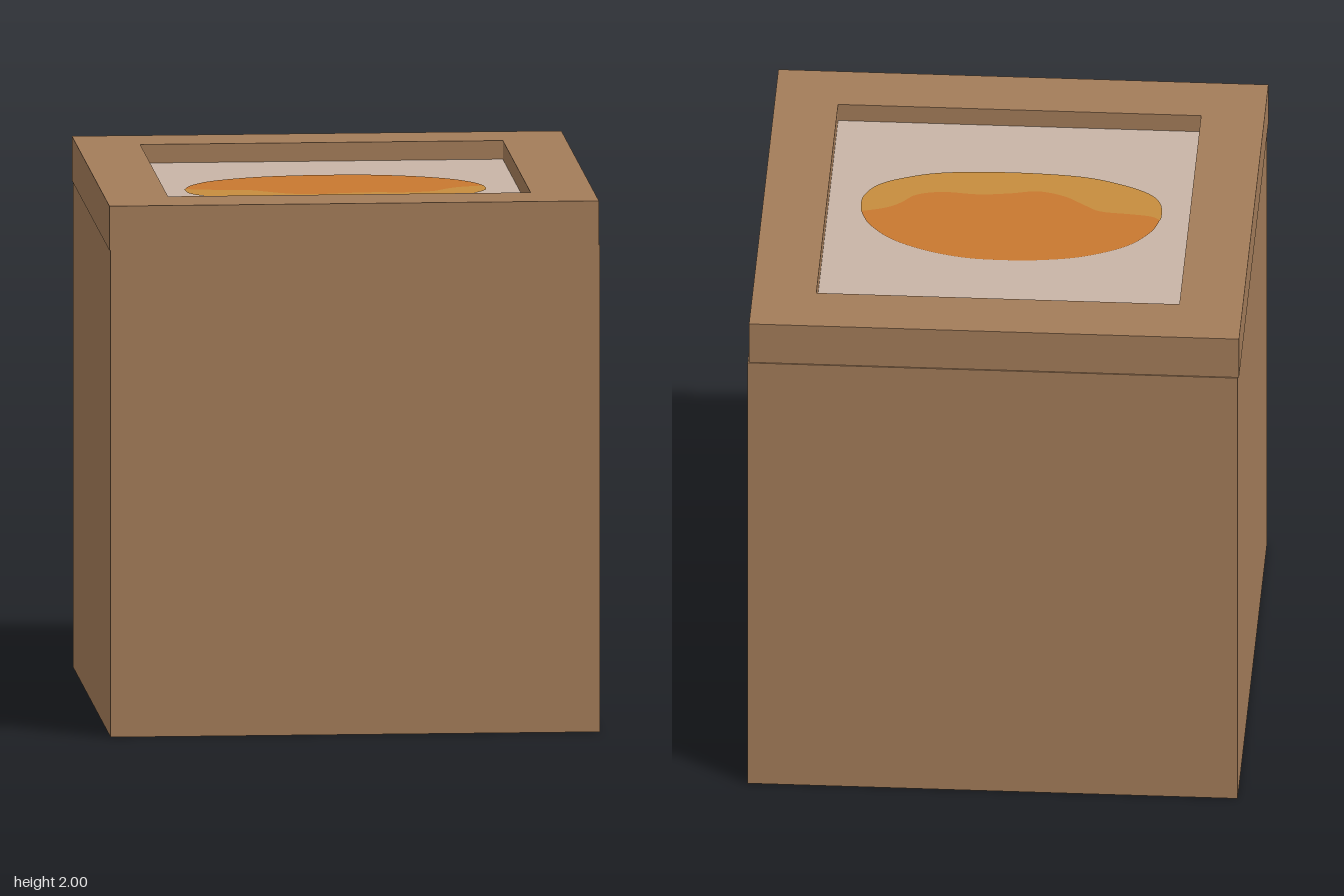
import * as THREE from 'three';

const SIZE = 1.829;   // width of box and lid
const SHIFT = 0.0025; // the lid sits slightly off the box
const SEAM = 1.833;   // height where the lid starts
const FLOOR = 1.93;   // height of the recessed panel
const HOLE = 1.355;   // width of the recess

const mat = (name, color, side = THREE.FrontSide) => {
  const m = new THREE.MeshStandardMaterial({ color, side });
  m.name = name;
  return m;
};

// Square outline centred on the origin
function square(Type, size) {
  const h = size / 2;
  return new Type([[-h, -h], [h, -h], [h, h], [-h, h]].map(([x, y]) => new THREE.Vector2(x, y)));
}

// Smooth line through [x, z] points, as seen from above
const smooth = (pts) =>
  new THREE.SplineCurve(pts.map(([x, z]) => new THREE.Vector2(x, -z))).getPoints(60);

export function createModel() {
  const group = new THREE.Group();
  const wood = mat('brown wood', 0xa37c59);
  const cream = mat('pale panel', 0xc8b4a6);
  const crust = mat('orange crust', 0xc87830, THREE.DoubleSide);
  const crumb = mat('golden crumb', 0xc68c3d, THREE.DoubleSide);

  const add = (name, geometry, material, x, y, z) => {
    const mesh = new THREE.Mesh(geometry, material);
    mesh.name = name;
    mesh.position.set(x, y, z);
    group.add(mesh);
    return mesh;
  };

  // Box
  add('box', new THREE.BoxGeometry(SIZE, SEAM, SIZE), wood, SHIFT, SEAM / 2, -SHIFT);

  // Lid frame with a square opening
  const frame = square(THREE.Shape, SIZE);
  frame.holes.push(square(THREE.Path, HOLE));
  const lid = new THREE.ExtrudeGeometry(frame, { depth: 2 - SEAM, bevelEnabled: false });
  add('lidFrame', lid.rotateX(-Math.PI / 2), wood, -SHIFT, SEAM, SHIFT);

  // Recessed panel
  add('panel', new THREE.BoxGeometry(HOLE, FLOOR - SEAM, HOLE), cream,
    -SHIFT, (FLOOR + SEAM) / 2, SHIFT);

  // Painted bread: rounded top edge, wavy crust line, rounded bottom edge
  const topEdge = smooth([[-0.565, 0.03], [-0.535, -0.06], [-0.45, -0.165], [-0.3, -0.245],
    [-0.15, -0.28], [0, -0.29], [0.15, -0.28], [0.3, -0.235], [0.43, -0.16], [0.515, -0.06], [0.55, 0.03]]);
  const crustLine = smooth([[0.55, 0.03], [0.46, 0.06], [0.405, 0.1], [0.35, 0.16], [0.25, 0.185],
    [0.12, 0.175], [0, 0.19], [-0.1, 0.21], [-0.2, 0.18], [-0.28, 0.12], [-0.34, 0.08],
    [-0.45, 0.067], [-0.53, 0.055], [-0.565, 0.03]]);
  const bottomEdge = smooth([[0.55, 0.03], [0.55, 0.13], [0.5, 0.22], [0.4, 0.28], [0.25, 0.325],
    [0, 0.34], [-0.25, 0.325], [-0.4, 0.28], [-0.51, 0.22], [-0.56, 0.15], [-0.57, 0.06], [-0.565, 0.03]]);

  const plate = (name, a, b, material) => {
    const shape = new THREE.Shape([...a, ...b.slice(1, -1)]);
    const geometry = new THREE.ShapeGeometry(shape).rotateX(-Math.PI / 2);
    add(name, geometry, material, 0, FLOOR + 0.004, 0);
  };
  plate('breadCrust', topEdge, crustLine, crust);
  plate('breadCrumb', [...crustLine].reverse(), bottomEdge, crumb);

  return group;
}
